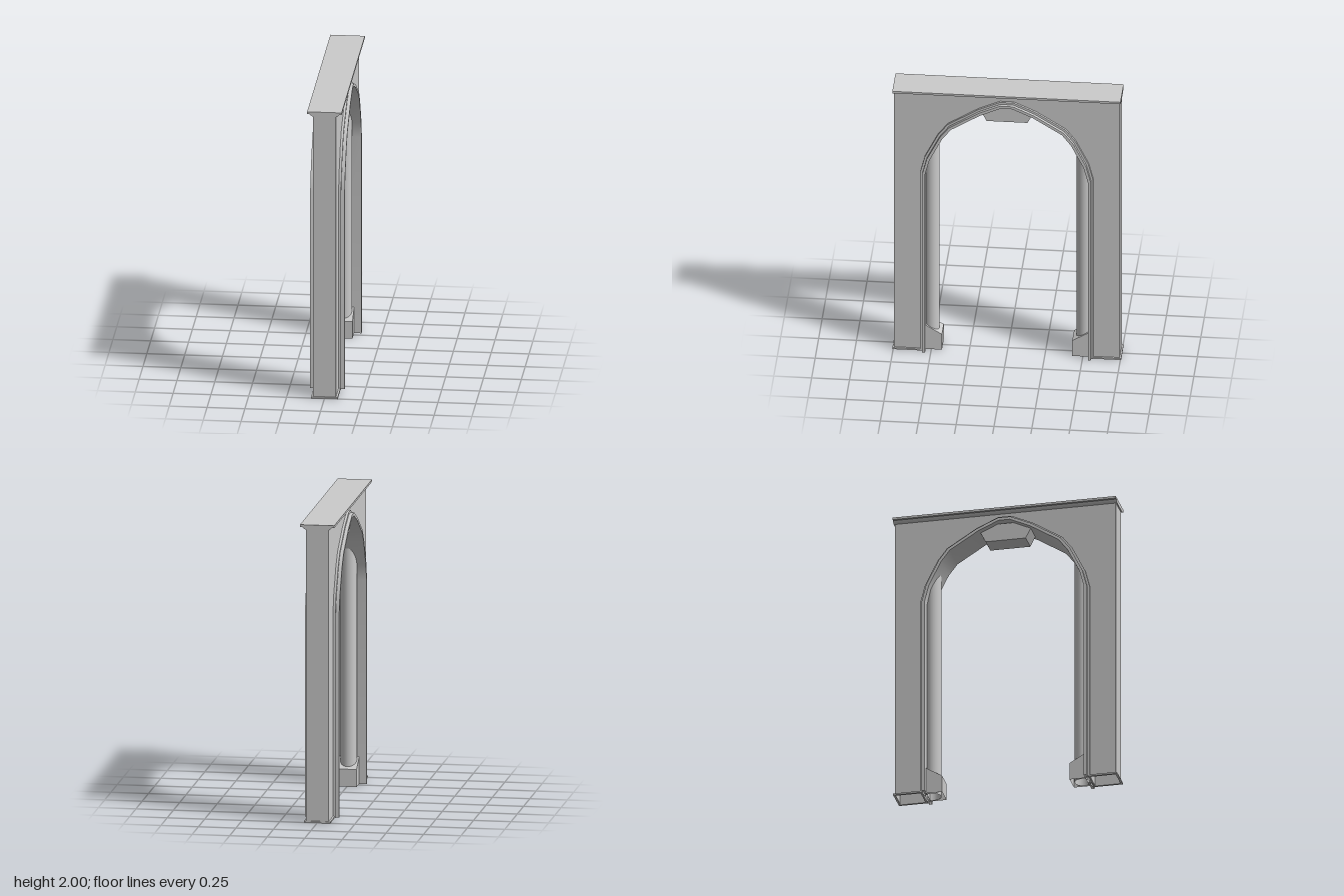
import * as THREE from 'three';
import { toCreasedNormals } from 'three/addons/utils/BufferGeometryUtils.js';

const material = new THREE.MeshStandardMaterial({ color: 0xcccccc, side: THREE.DoubleSide });

// Half of the arch opening as (z, y), from the floor to just beside the crown
const ARCH = [[0.571, 0], [0.571, 1.375], [0.54, 1.495], [0.455, 1.665], [0.39, 1.75], [0.19, 1.875], [0.045, 1.94]]
  .map(([z, y]) => new THREE.Vector2(z, y));

// Whole arch line moved inward by d with mitred corners
function archLine(d) {
  const pts = [...ARCH, new THREE.Vector2(-0.045, 1.94)];
  const normal = (a, b) => new THREE.Vector2(a.y - b.y, b.x - a.x).normalize();
  const half = ARCH.map((p, i) => {
    const n2 = normal(p, pts[i + 1]);
    const n1 = i ? normal(pts[i - 1], p) : n2;
    const m = n1.clone().add(n2).normalize();
    return p.clone().addScaledVector(m, d / m.dot(n1));
  });
  const mirrored = half.map((p) => new THREE.Vector2(-p.x, p.y)).reverse();
  return [...half, ...mirrored];
}

// Removes the faces lying on the floor, as the shell is open underneath
function openBottom(geometry) {
  const g = geometry.index ? geometry.toNonIndexed() : geometry;
  const p = g.attributes.position;
  const kept = [];
  for (let i = 0; i < p.count; i += 3) {
    if (Math.max(p.getY(i), p.getY(i + 1), p.getY(i + 2)) < 0.001) continue;
    for (let k = i; k < i + 3; k++) kept.push(p.getX(k), p.getY(k), p.getZ(k));
  }
  const out = new THREE.BufferGeometry();
  out.setAttribute('position', new THREE.Float32BufferAttribute(kept, 3));
  return toCreasedNormals(out, 0.5);
}

const points = (list) => list.map(([x, y]) => new THREE.Vector2(x, y));

// Extrudes a centred outline by depth; turned so its plane is z-y
function slab(outline, depth) {
  const g = new THREE.ExtrudeGeometry(new THREE.Shape(outline), { depth, bevelEnabled: false });
  g.translate(0, 0, -depth / 2);
  return g.rotateY(-Math.PI / 2);
}

export function createModel() {
  const group = new THREE.Group();
  const add = (name, geometry) => {
    const mesh = new THREE.Mesh(geometry, material);
    mesh.name = name;
    group.add(mesh);
    return mesh;
  };

  // Wall with the arched opening
  const wall = [...points([[-0.745, 0], [-0.745, 1.975], [0.745, 1.975], [0.745, 0]]), ...archLine(0.012)];
  add('wall', openBottom(slab(wall, 0.15)));

  // Stepped moulding around the arch, running through the wall
  const band = (outer, inner) => [...archLine(outer), ...archLine(inner).reverse()];
  add('outerMoulding', openBottom(slab(band(0, 0.022), 0.182)));
  add('innerMoulding', openBottom(slab(band(0.015, 0.034), 0.228)));

  // Cornice: chamfer below a flat slab
  const cornice = new THREE.ExtrudeGeometry(
    new THREE.Shape(points([[-0.075, 1.967], [0.075, 1.967], [0.09, 1.975], [0.098, 1.985], [0.114, 1.985],
      [0.114, 2], [-0.114, 2], [-0.114, 1.985], [-0.098, 1.985], [-0.09, 1.975]])),
    { depth: 1.506, bevelEnabled: false });
  add('cornice', cornice.translate(0, 0, -0.753));

  // Keystone hanging from the crown
  add('keystone', slab(points([[-0.135, 1.78], [0.135, 1.78], [0.195, 1.9], [-0.195, 1.9]]), 0.14));

  for (const side of [1, -1]) {
    const label = side > 0 ? 'front' : 'back';

    // Round column rising into the arch
    const column = new THREE.CylinderGeometry(0.054, 0.054, 1.68, 24, 1, true);
    add(label + 'Column', column.translate(0, 0.84, side * 0.505));

    // Column pedestal with a sloping top
    const pedestal = points([[0.43, 0], [0.55, 0], [0.55, 0.19], [0.43, 0.118]].map(([z, y]) => [side * z, y]));
    add(label + 'Pedestal', openBottom(slab(pedestal, 0.13)));

    // Thin skirting frame at the foot of each pier
    const frame = new THREE.Shape(points([[-0.088, 0.562], [0.088, 0.562], [0.088, 0.755], [-0.088, 0.755]]));
    frame.holes.push(new THREE.Path(points([[-0.073, 0.572], [-0.073, 0.743], [0.073, 0.743], [0.073, 0.572]])));
    const skirting = new THREE.ExtrudeGeometry(frame, { depth: 0.011, bevelEnabled: false });
    skirting.rotateX(Math.PI / 2).translate(0, 0.011, 0);
    add(label + 'Skirting', skirting).rotation.y = side > 0 ? 0 : Math.PI;
  }
  return group;
}
